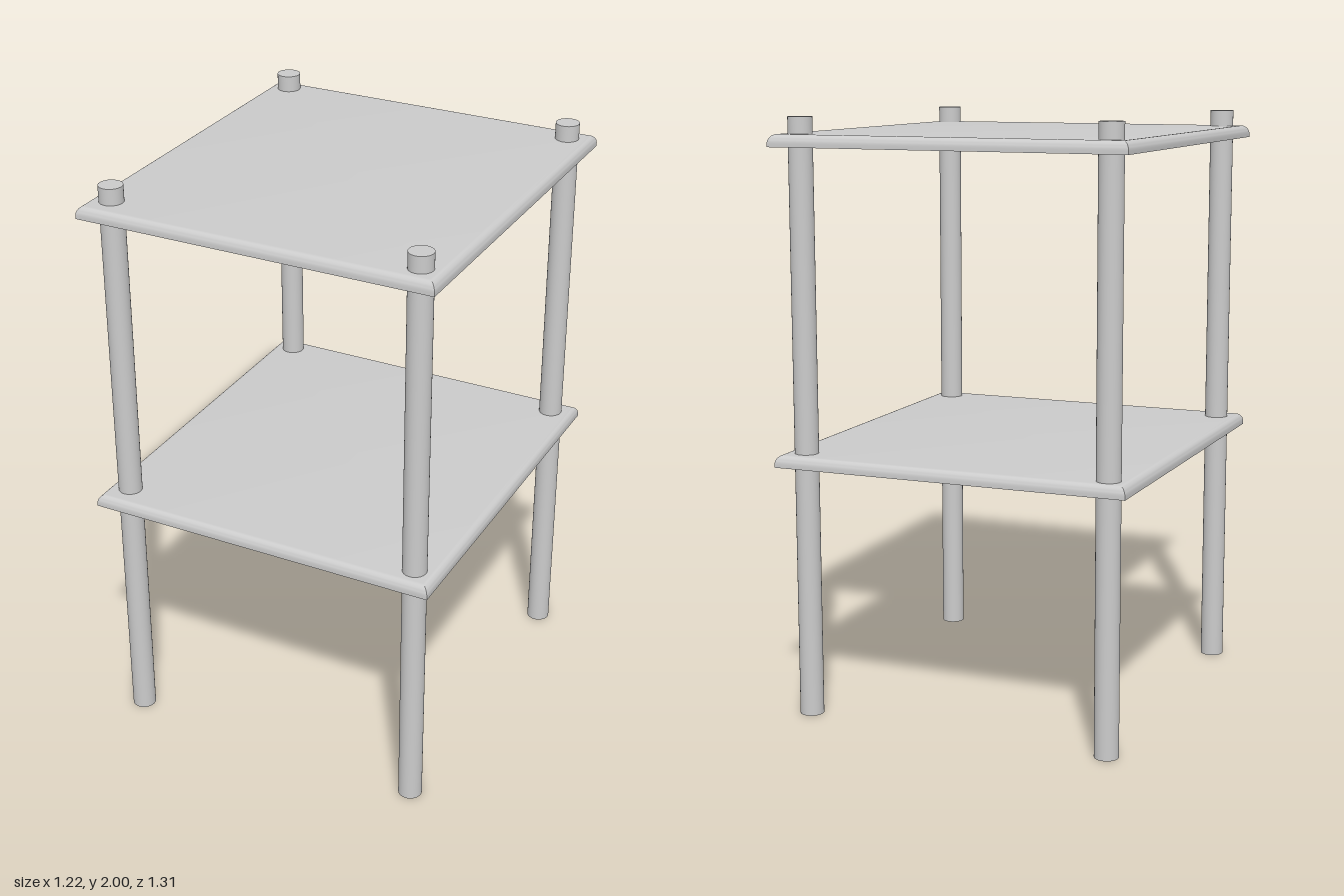
import * as THREE from 'three';
import { toCreasedNormals } from 'three/addons/utils/BufferGeometryUtils.js';

const material = new THREE.MeshStandardMaterial({ color: 0xcccccc });
const HALF_X = 0.61, HALF_Z = 0.655, THICK = 0.041;

// Shelf section from the underside centre, round the lip, to the top centre: [inset, y]
function shelfProfile() {
  const lip = 0.025, recess = 0.02, round = 0.025, roundHeight = 0.03;
  const points = [[HALF_X, recess], [lip, recess], [lip, 0], [0, 0]];
  for (let i = 0; i <= 8; i++) {
    const a = (i / 8) * Math.PI / 2;
    points.push([round * (1 - Math.cos(a)), THICK - roundHeight * (1 - Math.sin(a))]);
  }
  points.push([HALF_X, THICK]);
  return points;
}

// Rectangular loops joined into a mitred tray with a rounded top edge
function shelfGeometry() {
  const corners = [[1, 1], [1, -1], [-1, -1], [-1, 1]];
  const rings = shelfProfile().map(([inset, y]) =>
    corners.map(([sx, sz]) => [sx * (HALF_X - inset), y, sz * (HALF_Z - inset)]));
  const positions = [];
  const triangle = (a, b, c) => {
    const ids = [a, b, c].map((p) => p.join());
    if (new Set(ids).size === 3) positions.push(...a, ...b, ...c);
  };
  for (let r = 0; r < rings.length - 1; r++) {
    for (let k = 0; k < 4; k++) {
      const n = (k + 1) % 4;
      const a = rings[r][k], b = rings[r][n], c = rings[r + 1][n], d = rings[r + 1][k];
      triangle(a, b, c);
      triangle(a, c, d);
    }
  }
  const geometry = new THREE.BufferGeometry();
  geometry.setAttribute('position', new THREE.Float32BufferAttribute(positions, 3));
  return toCreasedNormals(geometry, Math.PI / 6);
}

export function createModel() {
  const model = new THREE.Group();
  model.name = 'shelfTable';

  // Two matching shelves
  const shelf = shelfGeometry();
  for (const [name, y] of [['lowerShelf', 0.858], ['upperShelf', 1.904]]) {
    const mesh = new THREE.Mesh(shelf, material);
    mesh.name = name;
    mesh.position.y = y;
    model.add(mesh);
  }

  // Four round posts, slightly uneven in placement
  const post = new THREE.CylinderGeometry(0.04, 0.04, 2, 40);
  const posts = [
    ['frontLeftPost', 0.531, 0.577],
    ['frontRightPost', -0.533, 0.566],
    ['backLeftPost', 0.531, -0.577],
    ['backRightPost', -0.533, -0.588],
  ];
  for (const [name, x, z] of posts) {
    const mesh = new THREE.Mesh(post, material);
    mesh.name = name;
    mesh.position.set(x, 1, z);
    model.add(mesh);
  }
  return model;
}
